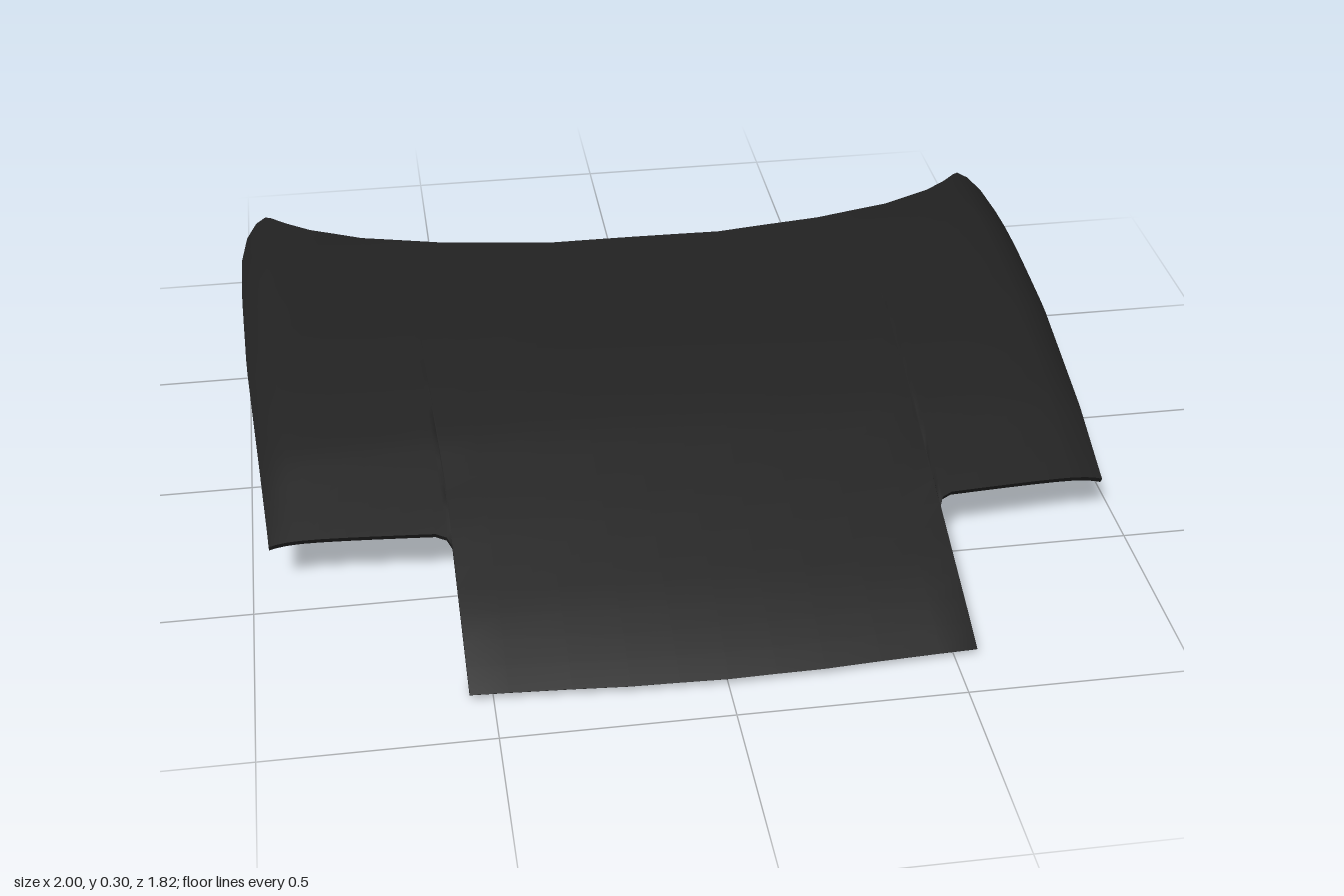
import * as THREE from 'three';

// piecewise linear lookup in a list of [key, value] pairs with rising keys
function lookup(points, k) {
  if (k <= points[0][0]) return points[0][1];
  for (let i = 1; i < points.length; i++) {
    const [k0, v0] = points[i - 1], [k1, v1] = points[i];
    if (k <= k1) return v0 + (v1 - v0) * (k - k0) / (k1 - k0);
  }
  return points[points.length - 1][1];
}

// centre height, crown and rolled side edge along z
const centreY = [[-0.86, 0.29], [-0.6, 0.3], [-0.4, 0.296], [-0.2, 0.289], [0, 0.272], [0.2, 0.239],
  [0.45, 0.171], [0.7, 0.098], [0.85, 0.045], [0.905, 0.022]];
const crown = [[-0.6, 0.02], [0, 0.03], [0.43, 0.03], [0.9, 0.04]];
const sideRoll = [[-0.6, 0.05], [0, 0.045], [0.43, 0.015]];
const taper = [[-0.5, 1], [-0.2, 0.992], [0.43, 0.955]];

// rear and front outline against the sideways position
const rearZ = [[0, -0.56], [0.22, -0.56], [0.49, -0.605], [0.69, -0.67], [0.82, -0.745], [0.88, -0.8],
  [0.92, -0.85], [0.935, -0.865], [0.96, -0.85], [0.985, -0.8], [1, -0.7]];
const frontZ = [[0, 0.905], [0.22, 0.9], [0.576, 0.878], [0.579, 0.51], [0.59, 0.485], [0.615, 0.472], [1, 0.437]];

const half = [0.11, 0.22, 0.35, 0.49, 0.576, 0.579, 0.59, 0.615, 0.69, 0.76, 0.82, 0.88, 0.92, 0.935, 0.96, 0.985, 1];
const columns = [...half.map((s) => -s).reverse(), 0, ...half];
const ROWS = 24;

function surfacePoint(s, t) {
  const a = Math.abs(s);
  const z = THREE.MathUtils.lerp(lookup(rearZ, a), lookup(frontZ, a), t);
  const x = s * lookup(taper, z);
  const y = lookup(centreY, z) - lookup(crown, z) * a * a - lookup(sideRoll, z) * a ** 24 - 0.006 * x;
  return [x, y, z];
}

// lower skin lies just under the upper one, set back at the front
function lower([x, y, z]) {
  return [x, y - 0.015, z - 0.02 * Math.max(0, z)];
}

function geometryFrom(positions, index) {
  const g = new THREE.BufferGeometry();
  g.setAttribute('position', new THREE.Float32BufferAttribute(positions.flat(), 3));
  g.setIndex(index);
  g.computeVertexNormals();
  return g;
}

function skin(isLower) {
  const positions = [], index = [], n = ROWS + 1;
  columns.forEach((s, i) => {
    for (let j = 0; j <= ROWS; j++) {
      const p = surfacePoint(s, j / ROWS);
      positions.push(isLower ? lower(p) : p);
      if (i === columns.length - 1 || j === ROWS) continue;
      const a = i * n + j, b = a + 1, c = a + n, d = c + 1;
      if (isLower) index.push(a, c, b, b, c, d);
      else index.push(a, b, c, b, d, c);
    }
  });
  return geometryFrom(positions, index);
}

// thin edge joining both skins all the way round
function rim() {
  const loop = [];
  columns.forEach((s) => loop.push(surfacePoint(s, 1)));
  for (let j = ROWS - 1; j > 0; j--) loop.push(surfacePoint(1, j / ROWS));
  [...columns].reverse().forEach((s) => loop.push(surfacePoint(s, 0)));
  for (let j = 1; j < ROWS; j++) loop.push(surfacePoint(-1, j / ROWS));
  const positions = [], index = [];
  loop.forEach((p, i) => {
    positions.push(p, lower(p));
    const a = 2 * i, b = 2 * ((i + 1) % loop.length);
    index.push(a, a + 1, b, b, a + 1, b + 1);
  });
  return geometryFrom(positions, index);
}

export function createModel() {
  const black = new THREE.MeshStandardMaterial({ color: 0x222222, side: THREE.DoubleSide });
  black.name = 'black panel';
  const model = new THREE.Group();
  model.name = 'bonnet';

  const add = (name, geometry, parent = model) => {
    const mesh = new THREE.Mesh(geometry, black);
    mesh.name = name;
    parent.add(mesh);
    return mesh;
  };
  add('upperSkin', skin(false));
  add('lowerSkin', skin(true));
  add('panelEdge', rim());

  // curved hinge hooks under the rear corners
  const path = new THREE.CatmullRomCurve3([[0.25, -0.79], [0.21, -0.785], [0.155, -0.778], [0.115, -0.793],
    [0.093, -0.825], [0.103, -0.855], [0.13, -0.876], [0.147, -0.902]].map(([y, z]) => new THREE.Vector3(0, y, z)));
  for (const side of [-1, 1]) {
    const hinge = new THREE.Group();
    hinge.name = side > 0 ? 'leftHinge' : 'rightHinge';
    hinge.position.x = side * 0.92;
    hinge.scale.x = 0.65;
    add('hook', new THREE.TubeGeometry(path, 20, 0.014, 8), hinge);
    for (const t of [0, 1]) {
      const cap = add('hookEnd', new THREE.CircleGeometry(0.014, 8), hinge);
      cap.position.copy(path.getPoint(t));
      cap.lookAt(cap.position.clone().addScaledVector(path.getTangent(t), t ? 1 : -1));
    }
    model.add(hinge);
  }
  return model;
}
